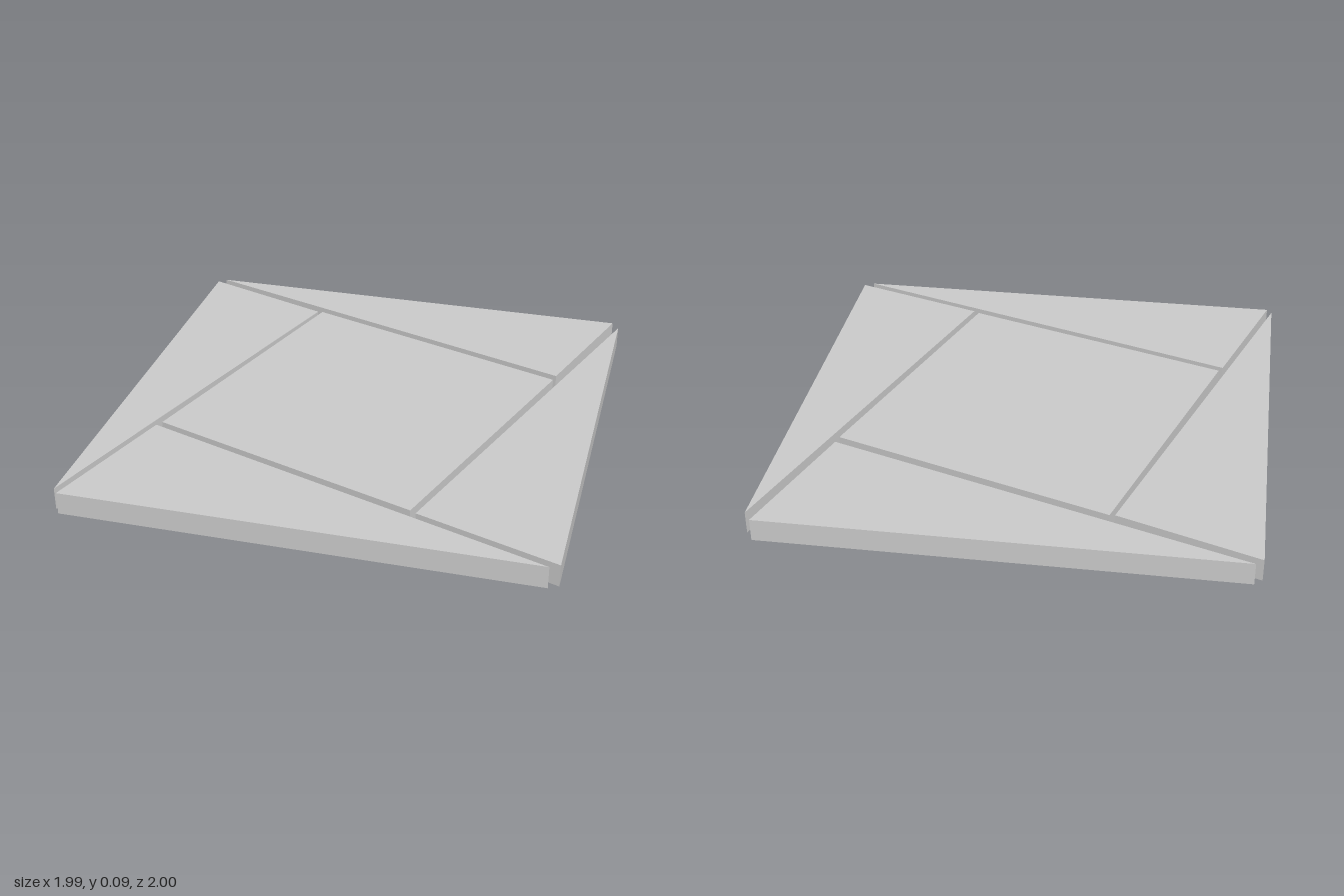
import * as THREE from 'three';

const HEIGHT = 0.095;

// Corners are [x, z] on the ground plane
const tiles = {
  centreTile: [[-0.403, -0.762], [0.762, -0.387], [0.389, 0.762], [-0.765, 0.392]],
  backTile: [[-0.966, -0.982], [0.952, -1], [0.77, -0.424]],
  leftTile: [[0.983, -0.957], [0.995, 0.963], [0.413, 0.776]],
  frontTile: [[-0.781, 0.419], [0.956, 0.984], [-0.966, 1]],
  rightTile: [[-0.996, -0.955], [-0.424, -0.76], [-0.987, 0.973]],
};

export function createModel() {
  const model = new THREE.Group();
  model.name = 'slabPuzzle';
  const material = new THREE.MeshStandardMaterial({ color: 0xcccccc, flatShading: true });

  // Four triangular slabs pinwheel around a tilted square, with narrow gaps between
  for (const [name, corners] of Object.entries(tiles)) {
    const shape = new THREE.Shape(corners.map(([x, z]) => new THREE.Vector2(x, -z)));
    const geometry = new THREE.ExtrudeGeometry(shape, { depth: HEIGHT, bevelEnabled: false });
    geometry.rotateX(-Math.PI / 2);
    const tile = new THREE.Mesh(geometry, material);
    tile.name = name;
    model.add(tile);
  }
  return model;
}
